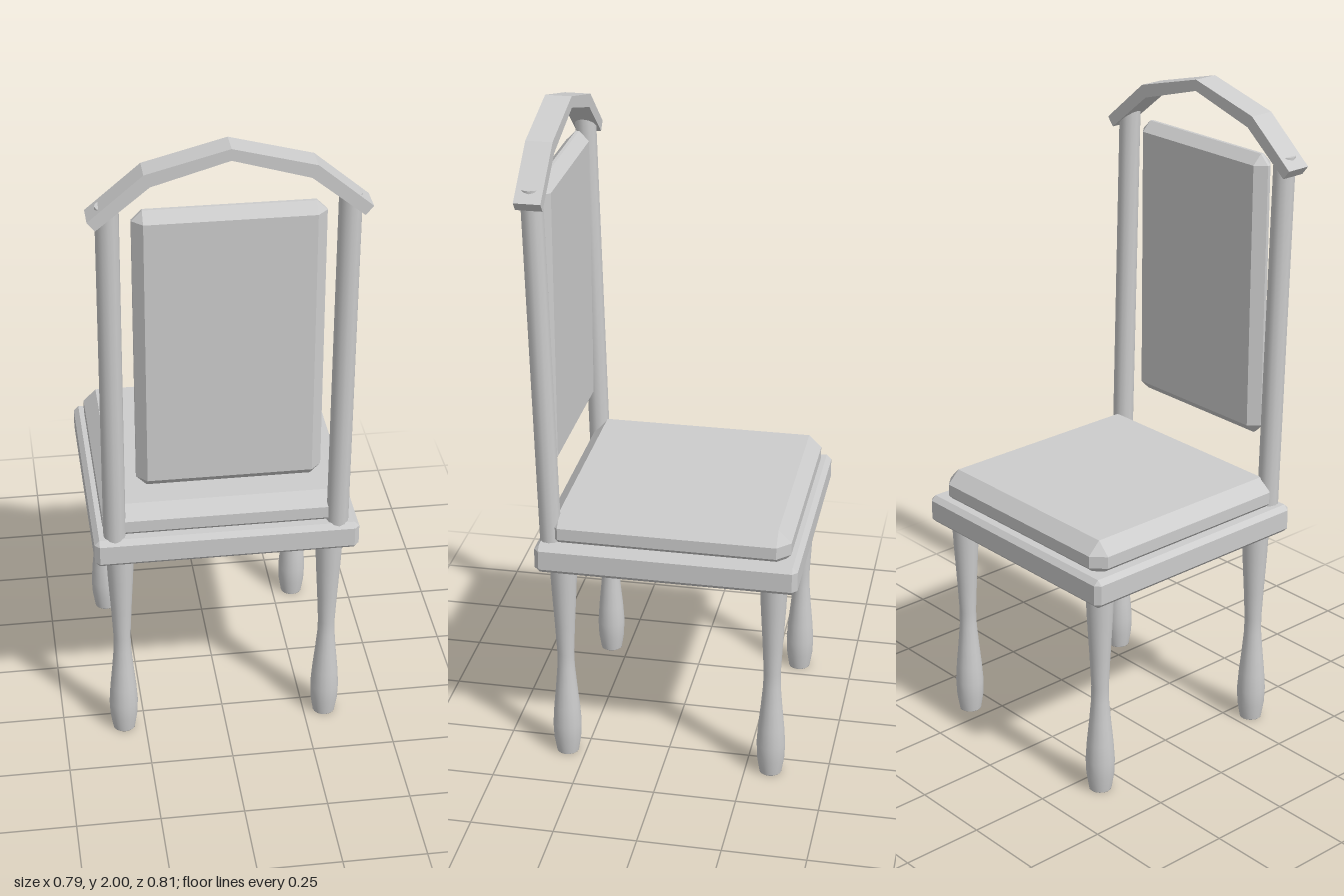
import * as THREE from 'three';
import { ConvexGeometry } from 'three/addons/geometries/ConvexGeometry.js';

const grey = new THREE.MeshStandardMaterial({ color: 0xcccccc });
grey.name = 'plain grey';

// Box with every edge and corner cut by the same bevel
function chamferBox(w, h, d, bevel) {
  const half = [w / 2, h / 2, d / 2];
  const points = [];
  for (const sx of [-1, 1]) for (const sy of [-1, 1]) for (const sz of [-1, 1]) {
    for (let full = 0; full < 3; full++) {
      const c = half.map((v, i) => (i === full ? v : v - bevel));
      points.push(new THREE.Vector3(sx * c[0], sy * c[1], sz * c[2]));
    }
  }
  return new ConvexGeometry(points);
}

export function createModel() {
  const chair = new THREE.Group();
  chair.name = 'chair';
  const add = (name, geometry, x = 0, y = 0, z = 0) => {
    const mesh = new THREE.Mesh(geometry, grey);
    mesh.name = name;
    mesh.position.set(x, y, z);
    chair.add(mesh);
    return mesh;
  };

  // Seat, cushion and padded back
  add('seatFrame', chamferBox(0.788, 0.09, 0.785, 0.015), 0, 0.7, -0.0125);
  add('seatCushion', chamferBox(0.73, 0.115, 0.73, 0.039), 0, 0.777, -0.013);
  add('backPanel', chamferBox(0.536, 0.88, 0.07, 0.03), 0, 1.38, 0.371);

  // Turned legs
  const profile = [[0, 0], [0.034, 0], [0.034, 0.001], [0.042, 0.05], [0.044, 0.1], [0.04, 0.16],
    [0.033, 0.23], [0.027, 0.3], [0.026, 0.35], [0.031, 0.45], [0.038, 0.57], [0.042, 0.66]]
    .map(([r, y]) => new THREE.Vector2(r, y));
  const leg = new THREE.LatheGeometry(profile, 16);
  for (const x of [-0.315, 0.315]) {
    add('backLeg', leg, x, 0, 0.308);
    add('frontLeg', leg, x, 0, -0.327);
  }

  // Back posts, leaning slightly outward
  const from = new THREE.Vector3(0, 0.7, 0.339);
  const to = new THREE.Vector3(0, 1.837, 0.368);
  const lean = to.clone().sub(from);
  const post = new THREE.CylinderGeometry(0.033, 0.033, lean.length(), 12);
  const middle = from.clone().add(to).multiplyScalar(0.5);
  for (const x of [-0.332, 0.332]) {
    add('backPost', post, x, middle.y, middle.z).rotation.x = Math.atan2(lean.z, lean.y);
  }

  // Angular crest rail
  const upper = [[-0.389, 1.808], [-0.235, 1.938], [0, 2], [0.235, 1.938], [0.389, 1.808]];
  const lower = [[0.367, 1.781], [0.218, 1.902], [0, 1.966], [-0.218, 1.902], [-0.367, 1.781]];
  const outline = new THREE.Shape([...upper, ...lower].map(([x, y]) => new THREE.Vector2(x, y)));
  add('crestRail', new THREE.ExtrudeGeometry(outline, { depth: 0.078, bevelEnabled: false }), 0, 0, 0.328);

  return chair;
}
